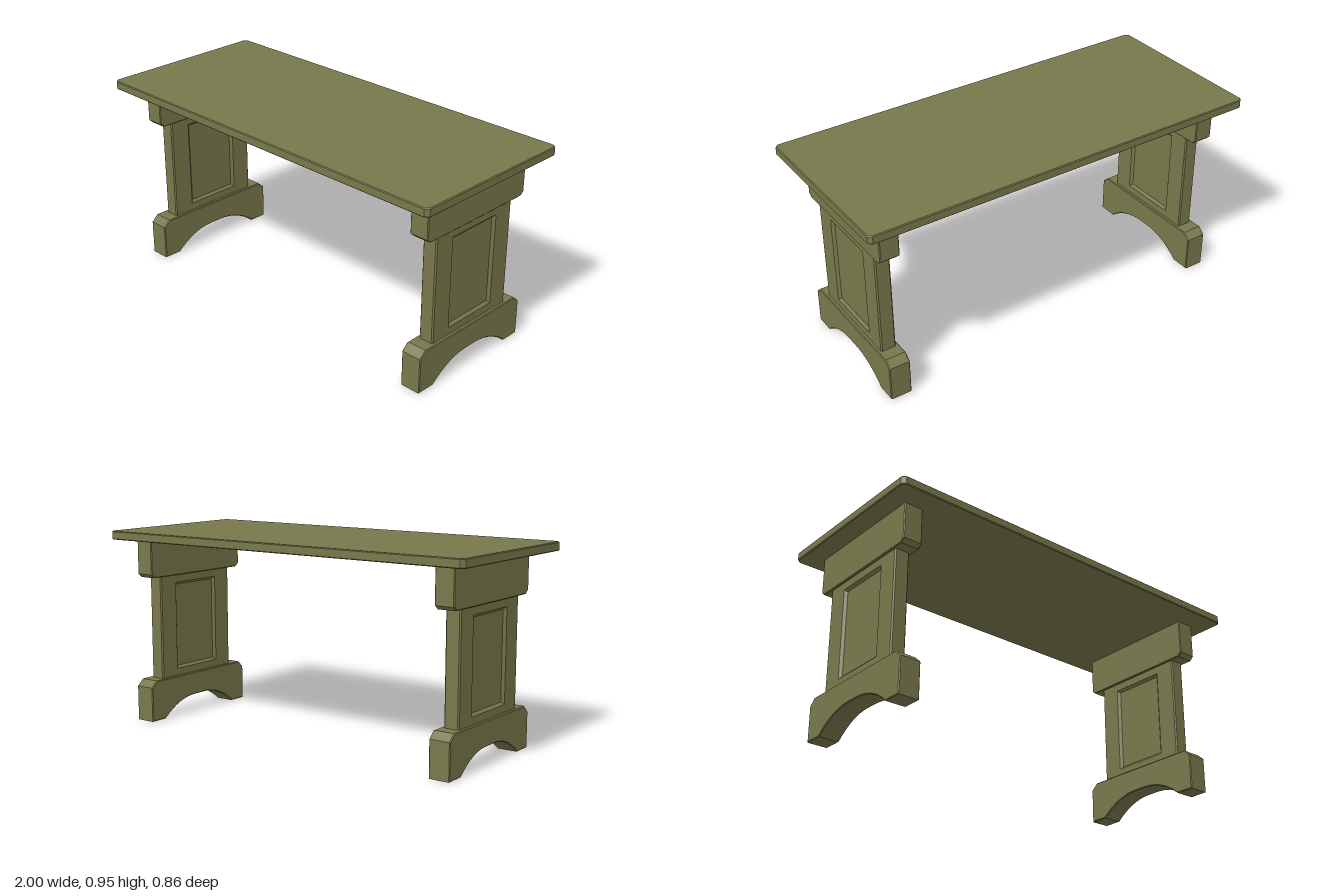
import * as THREE from 'three';
import { toCreasedNormals } from 'three/addons/utils/BufferGeometryUtils.js';

const material = new THREE.MeshStandardMaterial({ color: 0x78784c });
const LEG_Z = -0.012;

// Extrude a shape, centred on its depth, with small chamfers kept inside the outline
function chamferedSlab(shape, depth, bevel) {
  const geo = new THREE.ExtrudeGeometry(shape, {
    depth: depth - 2 * bevel, curveSegments: 8,
    bevelEnabled: true, bevelSegments: 1, bevelSize: bevel, bevelThickness: bevel, bevelOffset: -bevel,
  });
  geo.translate(0, 0, bevel - depth / 2);
  return toCreasedNormals(geo, 0.4);
}

function polygon(points) {
  return new THREE.Shape(points.map(([x, y]) => new THREE.Vector2(x, y)));
}

// Join rectangles [half width z, half height y, x] into one closed solid, from -x to +x
function loftRectangles(rings) {
  const pos = [], index = [];
  for (const [w, h, x] of rings) pos.push(x, -h, -w, x, h, -w, x, h, w, x, -h, w);
  for (let r = 0; r < rings.length - 1; r++) {
    for (let i = 0; i < 4; i++) {
      const a = r * 4 + i, b = r * 4 + (i + 1) % 4;
      index.push(a, a + 4, b, b, a + 4, b + 4);
    }
  }
  const e = (rings.length - 1) * 4;
  index.push(0, 2, 3, 0, 1, 2, e, e + 2, e + 1, e, e + 3, e + 2);
  // Reverse the winding so that faces look outwards
  for (let i = 0; i < index.length; i += 3) [index[i + 1], index[i + 2]] = [index[i + 2], index[i + 1]];
  const geo = new THREE.BufferGeometry();
  geo.setAttribute('position', new THREE.Float32BufferAttribute(pos, 3));
  geo.setIndex(index);
  const flat = geo.toNonIndexed();
  flat.computeVertexNormals();
  return flat;
}

function part(name, geometry, parent) {
  const mesh = new THREE.Mesh(geometry, material);
  mesh.name = name;
  parent.add(mesh);
  return mesh;
}

// Foot with clipped shoulders and an arched underside
function footGeometry() {
  const s = new THREE.Shape();
  s.moveTo(-0.345, 0);
  s.lineTo(-0.252, 0);
  s.quadraticCurveTo(-0.15, 0.088, -0.03, 0.088);
  s.lineTo(0.03, 0.088);
  s.quadraticCurveTo(0.15, 0.088, 0.252, 0);
  s.lineTo(0.345, 0);
  s.lineTo(0.345, 0.173);
  s.lineTo(0.31, 0.204);
  s.lineTo(-0.31, 0.204);
  s.lineTo(-0.345, 0.173);
  s.closePath();
  return chamferedSlab(s, 0.104, 0.004).rotateY(Math.PI / 2);
}

// Bracket under the top, clipped at its lower corners
function bracketGeometry() {
  const s = polygon([[-0.305, 0.72], [0.305, 0.72], [0.325, 0.738], [0.325, 0.916],
    [-0.325, 0.916], [-0.325, 0.738]]);
  return chamferedSlab(s, 0.095, 0.004).rotateY(Math.PI / 2);
}

// Upright slab with a sunken panel on both faces
function uprightGeometry() {
  const half = [[0.133, 0.209, 0.025], [0.146, 0.2215, 0.037], [0.246, 0.265, 0.037], [0.252, 0.265, 0.031]];
  const back = half.map(([w, h, x]) => [w, h, -x]);
  return loftRectangles([...back, ...half.reverse()]);
}

function createTrestle() {
  const trestle = new THREE.Group();
  part('foot', footGeometry(), trestle);
  part('uprightPanel', uprightGeometry(), trestle).position.y = 0.4615;
  part('topBracket', bracketGeometry(), trestle);
  return trestle;
}

export function createModel() {
  const table = new THREE.Group();
  table.name = 'trestleTable';

  // Table top with clipped corners
  const X = 1, Z = 0.432, c = 0.017;
  const outline = polygon([[-X + c, -Z], [X - c, -Z], [X, -Z + c], [X, Z - c],
    [X - c, Z], [-X + c, Z], [-X, Z - c], [-X, -Z + c]]);
  const top = part('tableTop', chamferedSlab(outline, 0.042, 0.004).rotateX(-Math.PI / 2), table);
  top.position.y = 0.932;

  // Trestle at each end
  for (const [name, x] of [['rightTrestle', -0.857], ['leftTrestle', 0.863]]) {
    const trestle = createTrestle();
    trestle.name = name;
    trestle.position.set(x, 0, LEG_Z);
    table.add(trestle);
  }
  return table;
}
